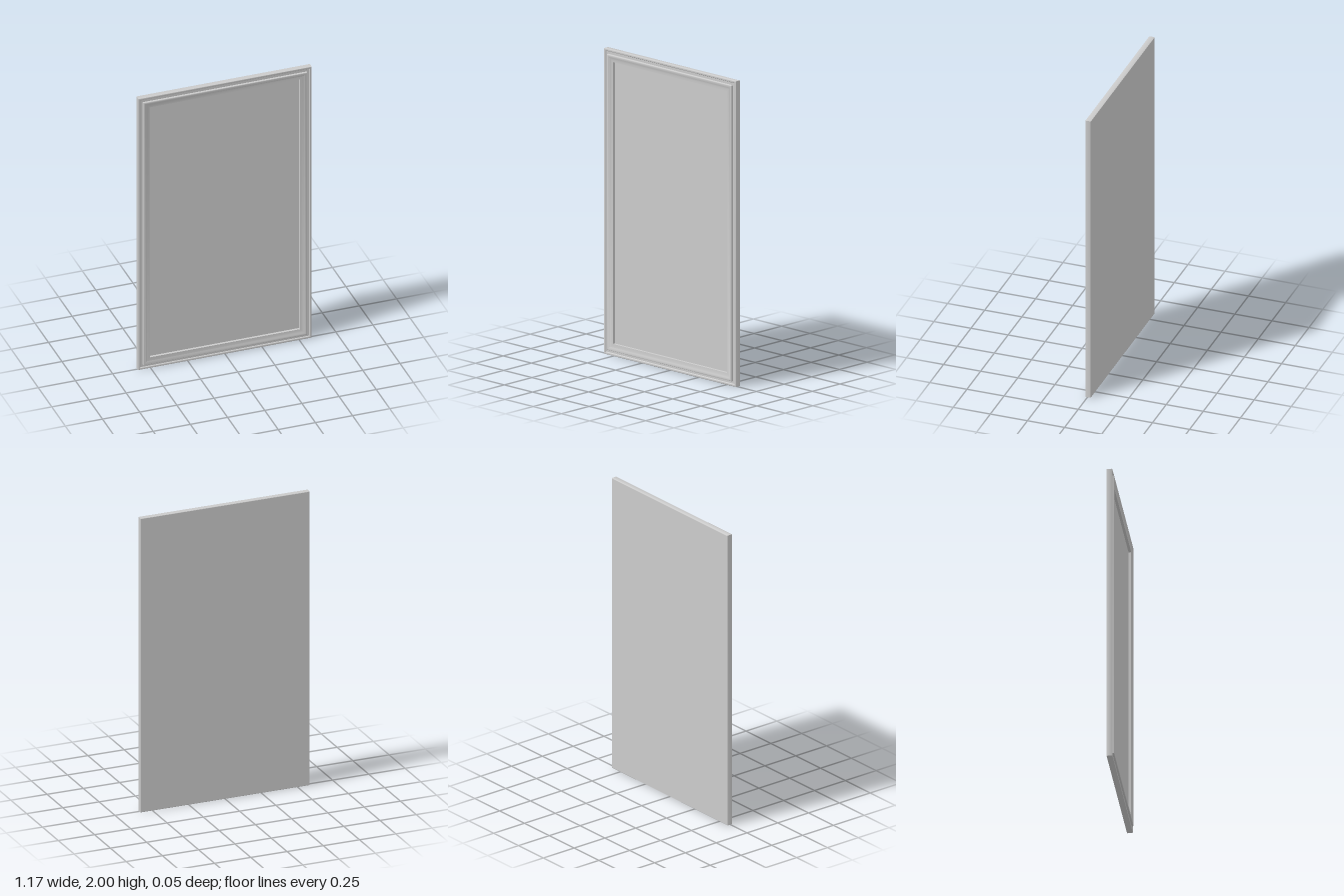
import * as THREE from 'three';
import { toCreasedNormals } from 'three/addons/utils/BufferGeometryUtils.js';

const W = 1.166, H = 2, BACK = -0.023, PANEL = -0.004;

// Sweeps a profile of [inset from outer edge, z] around a mitred rectangle
function mitredFrame(profile) {
  const corners = [[-1, -1], [1, -1], [1, 1], [-1, 1]];
  const pos = [], index = [];
  for (const [inset, z] of profile) {
    for (const [sx, sy] of corners) {
      pos.push(sx * (W / 2 - inset), H / 2 + sy * (H / 2 - inset), z);
    }
  }
  for (let i = 0; i < profile.length - 1; i++) {
    for (let c = 0; c < 4; c++) {
      const a = i * 4 + c, b = i * 4 + (c + 1) % 4;
      index.push(a, b, b + 4, a, b + 4, a + 4);
    }
  }
  const g = new THREE.BufferGeometry();
  g.setAttribute('position', new THREE.Float32BufferAttribute(pos, 3));
  g.setIndex(index);
  return toCreasedNormals(g, 0.6);
}

export function createModel() {
  const group = new THREE.Group();
  const material = new THREE.MeshStandardMaterial({ color: 0xcccccc });
  const add = (name, geometry) => {
    const mesh = new THREE.Mesh(geometry, material);
    mesh.name = name;
    group.add(mesh);
    return mesh;
  };

  // Outer rim with softened edges, stepping down into a narrow groove
  add('outerRim', mitredFrame([
    [0.003, BACK], [0.001, BACK + 0.001], [0, BACK + 0.003],
    [0, 0.012], [0.001, 0.014], [0.003, 0.015],
    [0.011, 0.015], [0.013, 0.014], [0.014, 0.012],
    [0.016, 0.009], [0.032, 0.009],
  ]));

  // Raised moulding: rounded crest, gentle fall, then a step to the panel
  add('moulding', mitredFrame([
    [0.032, 0.009], [0.032, 0.018], [0.033, 0.021], [0.036, 0.023],
    [0.042, 0.023], [0.048, 0.021], [0.056, 0.017], [0.066, 0.014],
    [0.078, 0.013], [0.078, PANEL],
  ]));

  // Flat board: recessed front face and plain back
  const board = add('panel', new THREE.BoxGeometry(W - 0.006, H - 0.006, PANEL - BACK));
  board.position.set(0, H / 2, (PANEL + BACK) / 2);

  return group;
}
